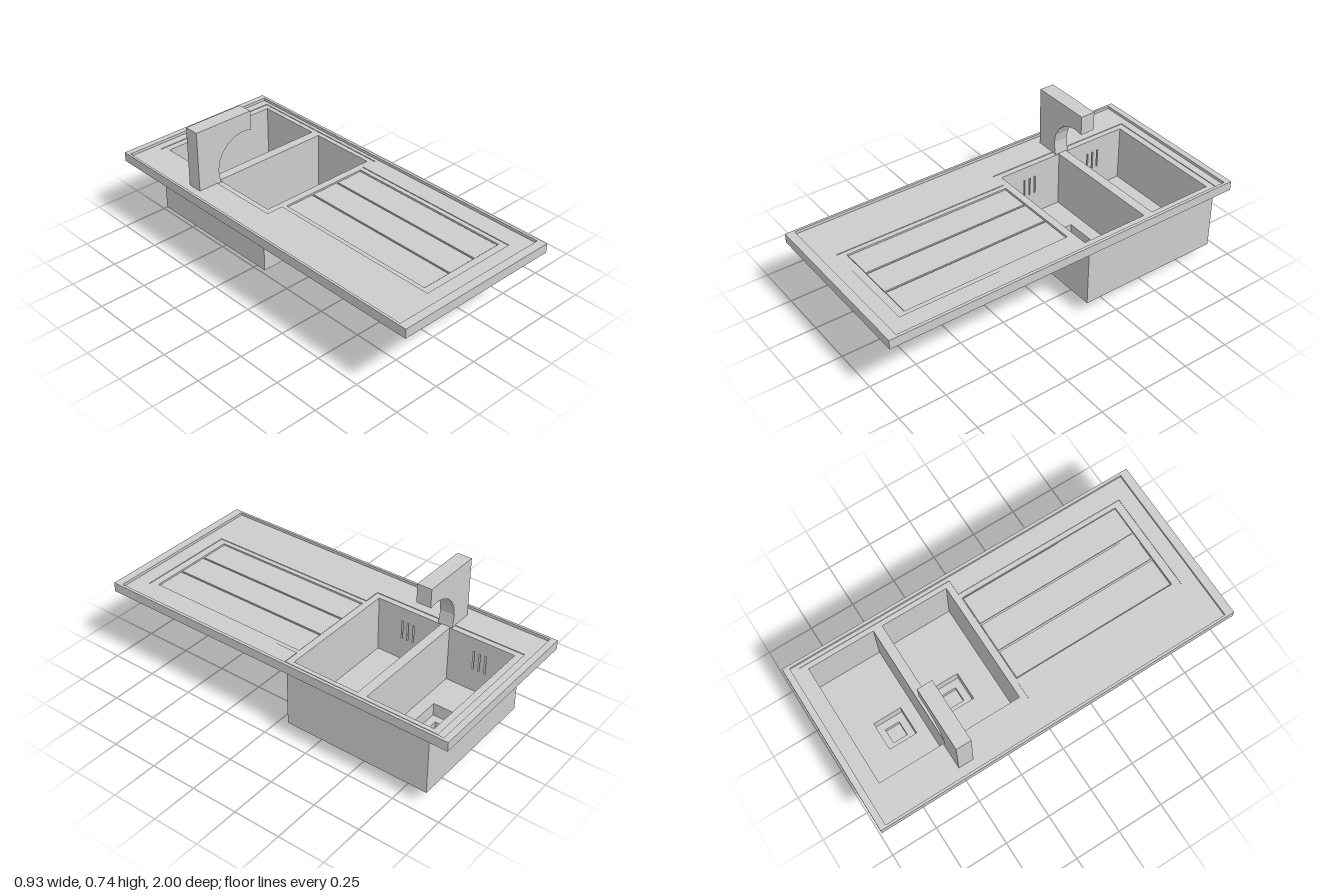
import * as THREE from 'three';

const material = new THREE.MeshStandardMaterial({ color: 0xcccccc, flatShading: true });

// Rectangle corners in plan: x0, z0, x1, z1
const rect = (x0, z0, x1, z1) => [[x0, z0], [x1, z0], [x1, z1], [x0, z1]];
const toPoints = (pts) => pts.map(([x, y]) => new THREE.Vector2(x, y));

function outline(pts, holes = []) {
  const shape = new THREE.Shape(toPoints(pts));
  holes.forEach((h) => shape.holes.push(new THREE.Path(toPoints(h))));
  return shape;
}

function extrude(shape, depth) {
  return new THREE.ExtrudeGeometry(shape, { depth, bevelEnabled: false });
}

export function createModel() {
  const model = new THREE.Group();
  model.name = 'kitchenSink';

  const add = (name, geometry, parent = model) => {
    const mesh = new THREE.Mesh(geometry, material);
    mesh.name = name;
    parent.add(mesh);
    return mesh;
  };
  // Horizontal layer drawn in plan, with holes, between two heights
  const layer = (name, pts, holes, bottom, top, parent) => {
    const g = extrude(outline(pts, holes), top - bottom);
    g.rotateX(Math.PI / 2).translate(0, top, 0);
    return add(name, g, parent);
  };
  const box = (name, x0, x1, y0, y1, z0, z1, parent) => {
    const g = new THREE.BoxGeometry(x1 - x0, y1 - y0, z1 - z0);
    g.translate((x0 + x1) / 2, (y0 + y1) / 2, (z0 + z1) / 2);
    return add(name, g, parent);
  };

  const edge = rect(-0.465, -1, 0.465, 1);
  const basins = [rect(-0.262, -0.89, 0.405, -0.529), rect(-0.262, -0.479, 0.405, -0.113)];
  const drainer = rect(-0.175, -0.075, 0.32, 0.835);
  // Shallow ledge running around both the basins and the drainer
  const ledge = [[-0.292, -0.925], [0.43, -0.925], [0.43, -0.08], [0.345, -0.08],
    [0.345, 0.875], [-0.2, 0.875], [-0.2, -0.08], [-0.292, -0.08]];

  // Worktop, stepping down from the raised rim
  const top = new THREE.Group();
  top.name = 'worktop';
  model.add(top);
  layer('worktopBase', edge, basins, 0.385, 0.404, top);
  layer('drainerSurround', edge, [...basins, drainer], 0.404, 0.416, top);
  layer('ledgeSurround', edge, [ledge], 0.416, 0.42, top);
  layer('raisedRim', edge, [rect(-0.452, -0.967, 0.449, 0.955)], 0.42, 0.435, top);

  // Drainer panels separated by narrow grooves
  for (let i = 0; i < 3; i++) {
    const x = -0.175 + i * 0.165;
    box('drainerPanel', x + 0.005, x + 0.16, 0.404, 0.411, -0.07, 0.83, top);
  }

  // Basin walls
  const body = new THREE.Group();
  body.name = 'basinBody';
  model.add(body);
  box('sideWall', 0.405, 0.45, 0.08, 0.385, -0.897, -0.105, body);
  [[-0.897, -0.89], [-0.529, -0.479], [-0.113, -0.105]].forEach(([z0, z1]) =>
    box('crossWall', -0.262, 0.405, 0.08, 0.385, z0, z1, body));

  // Side wall pierced by overflow slots
  const slots = [];
  for (const centre of [-0.705, -0.29]) {
    for (const d of [-0.033, 0, 0.033]) {
      slots.push(rect(centre + d - 0.004, 0.235, centre + d + 0.004, 0.34));
    }
  }
  const slotted = extrude(outline(rect(-0.897, 0.08, -0.105, 0.385), slots), 0.038);
  slotted.rotateY(-Math.PI / 2).translate(-0.262, 0, 0);
  add('overflowWall', slotted, body);

  // Basin floors with square drain wells
  const drainZ = [-0.668, -0.333];
  const square = (z, r) => rect(0.016 - r, z - r, 0.016 + r, z + r);
  layer('basinFloor', rect(-0.262, -0.89, 0.405, -0.113),
    drainZ.map((z) => square(z, 0.078)), 0.08, 0.11, body);
  for (const z of drainZ) {
    const drain = new THREE.Group();
    drain.name = 'drain';
    model.add(drain);
    layer('drainWall', square(z, 0.083), [square(z, 0.078)], 0.04, 0.08, drain);
    layer('drainSeat', square(z, 0.083), [square(z, 0.04)], 0.01, 0.04, drain);
    layer('drainBottom', square(z, 0.083), [], 0, 0.01, drain);
  }

  // Slab tap with a faceted arch cut out below the spout
  const arch = [];
  const start = THREE.MathUtils.degToRad(73);
  const end = THREE.MathUtils.degToRad(197);
  for (let i = 0; i <= 7; i++) {
    const a = start + ((end - start) * i) / 7;
    arch.push([-0.115 + 0.164 * Math.cos(a), 0.483 + 0.164 * Math.sin(a)]);
  }
  const tap = extrude(outline([[-0.402, 0.416], [-0.402, 0.743], [-0.067, 0.743],
    ...arch, [-0.268, 0.416]]), 0.08);
  tap.translate(0, 0, -0.54);
  add('tap', tap);

  return model;
}
